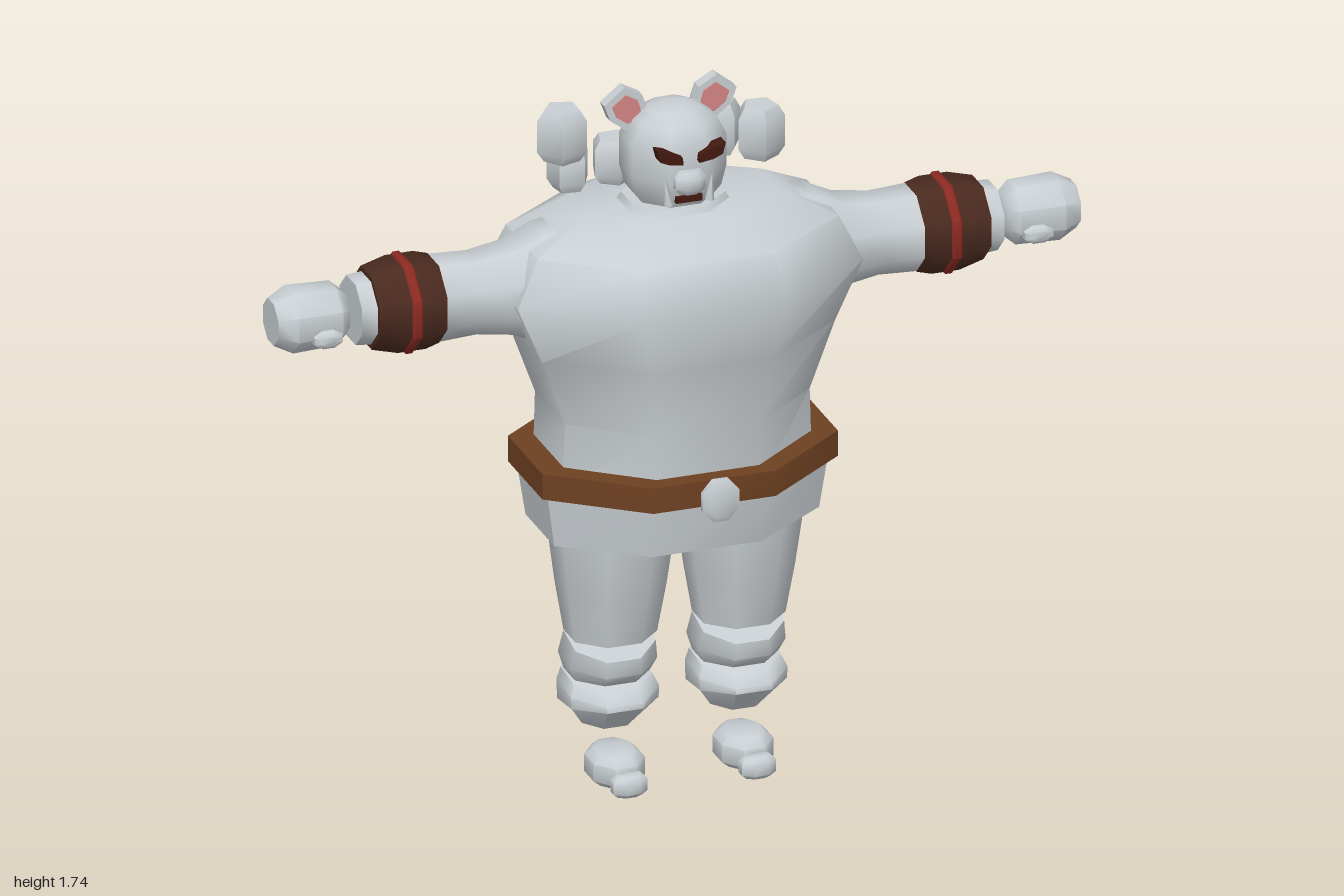
import * as THREE from 'three';
import { toCreasedNormals } from 'three/addons/utils/BufferGeometryUtils.js';

const mat = (name, color) => Object.assign(new THREE.MeshStandardMaterial({ color }), { name });

// Closed skin over level or tilted rings, bottom to top: [y, halfX, halfZ, centreZ, tilt, centreX]
// tilt is how much higher the back is than the middle
function loft(rings, sides = 8, crease = 0.9) {
  const pos = [], idx = [], n = sides, grow = 1 / Math.cos(Math.PI / n);
  for (const [y, hx, hz, cz = 0, tilt = 0, cx = 0] of rings) {
    for (let k = 0; k < n; k++) {
      const a = ((k + 0.5) / n) * Math.PI * 2, s = Math.sin(a) * grow;
      pos.push(cx + Math.cos(a) * grow * hx, y + s * tilt, cz - s * hz);
    }
  }
  for (let i = 0; i < rings.length - 1; i++) {
    for (let k = 0; k < n; k++) {
      const a = i * n + k, b = i * n + ((k + 1) % n);
      idx.push(a, b, b + n, a, b + n, a + n);
    }
  }
  const top = (rings.length - 1) * n;
  for (let k = 1; k < n - 1; k++) idx.push(0, k + 1, k, top, top + k, top + k + 1);
  const g = new THREE.BufferGeometry();
  g.setAttribute('position', new THREE.Float32BufferAttribute(pos, 3));
  g.setIndex(idx);
  return toCreasedNormals(g, crease);
}

// Flat outline given thickness towards +z
function plate(points, depth) {
  const shape = new THREE.Shape(points.map(([x, y]) => new THREE.Vector2(x, y)));
  return new THREE.ExtrudeGeometry(shape, { depth, bevelEnabled: false });
}

export function createModel() {
  const model = new THREE.Group();
  const grey = mat('pale grey', 0xc8ced2);
  const leather = mat('belt brown', 0x6e4122);
  const dark = mat('bracer brown', 0x4a2a1f);
  const red = mat('cord red', 0x8c2a22);
  const brow = mat('brow brown', 0x42190f);
  const pink = mat('ear pink', 0xd48383);

  const add = (name, geo, material, x = 0, y = 0, z = 0, parent = model) => {
    const m = new THREE.Mesh(geo, material);
    m.name = name;
    m.position.set(x, y, z);
    parent.add(m);
    return m;
  };

  // Torso, skirt and belt
  add('torso', loft([
    [0.80, 0.31, 0.245, -0.02], [0.96, 0.305, 0.247, -0.02], [1.13, 0.365, 0.27, -0.02],
    [1.28, 0.43, 0.30, -0.02], [1.395, 0.375, 0.265, -0.02], [1.455, 0.25, 0.155, -0.035],
  ]), grey);
  add('skirt', loft([[0.65, 0.33, 0.237, -0.02], [0.80, 0.352, 0.257, -0.02]]), grey);
  add('belt', loft([[0.785, 0.368, 0.285, -0.016], [0.85, 0.368, 0.285, -0.016]]), leather);
  const buckle = add('buckle', loft([
    [-0.013, 0.03, 0.04], [-0.006, 0.046, 0.053], [0.006, 0.046, 0.053], [0.013, 0.03, 0.04],
  ]), grey, 0, 0.815, 0.308);
  buckle.rotation.x = Math.PI / 2;

  // Head, collar and face
  add('collar', loft([[1.43, 0.14, 0.12, -0.015], [1.47, 0.115, 0.10, -0.015]]), grey);
  add('head', loft([
    [1.45, 0.075, 0.075, -0.015], [1.49, 0.105, 0.10, -0.015], [1.54, 0.117, 0.113, -0.018],
    [1.62, 0.117, 0.113, -0.018], [1.665, 0.095, 0.092, -0.016], [1.69, 0.06, 0.06, -0.014],
    [1.70, 0.03, 0.03, -0.014],
  ]), grey);
  add('muzzle', loft([
    [1.515, 0.026, 0.02, 0.095], [1.53, 0.038, 0.03, 0.095],
    [1.557, 0.038, 0.03, 0.095], [1.572, 0.026, 0.02, 0.095],
  ]), grey);
  add('mouth', new THREE.BoxGeometry(0.065, 0.016, 0.03), brow, 0, 1.497, 0.082);

  // Bulging five-sided hair locks behind the head: x, y, z, radius, height
  const locks = [
    [-0.25, 1.625, -0.09, 0.05, 0.13], [-0.215, 1.515, -0.14, 0.042, 0.11],
    [-0.10, 1.515, -0.15, 0.045, 0.11], [0.075, 1.515, -0.155, 0.042, 0.11],
    [0.16, 1.565, -0.135, 0.042, 0.13], [0.24, 1.565, -0.08, 0.048, 0.13],
  ];
  locks.forEach(([x, y, z, r, h], i) => {
    const lock = add('hairLock', loft([
      [-h / 2, r * 0.72, r * 0.72], [-h * 0.3, r, r], [h * 0.3, r, r], [h / 2, r * 0.72, r * 0.72],
    ], 5, 0.6), grey, x, y, z);
    lock.rotation.y = i * 0.8;
  });

  for (const s of [1, -1]) {
    const side = s > 0 ? 'left' : 'right';
    const mirrored = (pts) => pts.map(([x, y]) => [x * s, y]);

    // Ear with pink inner face
    const ear = [[0.055, 1.64], [0.06, 1.69], [0.07, 1.72], [0.115, 1.745], [0.165, 1.705], [0.15, 1.665], [0.11, 1.635]];
    const inner = ear.map(([x, y]) => [0.108 + (x - 0.108) * 0.66, 1.69 + (y - 1.69) * 0.66]);
    add(side + 'Ear', plate(mirrored(ear), 0.03), grey, 0, 0, -0.062);
    add(side + 'EarInner', plate(mirrored(inner), 0.006), pink, 0, 0, -0.035);

    // Slanted brow and tusk
    const browPts = [[0.02, 1.593], [0.055, 1.598], [0.078, 1.608], [0.085, 1.636], [0.05, 1.626], [0.022, 1.612]];
    add(side + 'Brow', plate(mirrored(browPts), 0.035), brow, 0, 0, 0.078);
    const tusk = add(side + 'Tusk', new THREE.ConeGeometry(0.012, 0.075, 5), grey, s * 0.055, 1.525, 0.094);
    tusk.rotation.z = -s * 0.12;

    // Arm, built upright and laid outward along x
    const arm = new THREE.Group();
    arm.name = side + 'Arm';
    arm.position.set(0, 1.285, -0.022);
    arm.rotation.z = -s * Math.PI / 2;
    model.add(arm);
    const armPart = (name, rings, material) =>
      add(name, loft(rings.map(([x, r, rz = r]) => [x, r, rz])), material, 0, 0, 0, arm);
    armPart('sleeve', [[0.26, 0.15, 0.12], [0.34, 0.138, 0.115], [0.41, 0.105], [0.5, 0.092], [0.61, 0.097]], grey);
    armPart('bracer', [[0.595, 0.098], [0.63, 0.107], [0.70, 0.107], [0.762, 0.092]], dark);
    armPart('bracerCord', [[0.658, 0.106], [0.664, 0.112], [0.68, 0.112], [0.686, 0.106]], red);
    armPart('wrist', [[0.74, 0.082], [0.80, 0.077]], grey);
    armPart('hand', [[0.82, 0.05], [0.845, 0.071], [0.955, 0.075], [1.0, 0.053]], grey);
    const thumb = add(side + 'Thumb', loft([
      [-0.015, 0.035, 0.021], [0.006, 0.035, 0.021], [0.014, 0.022, 0.012],
    ]), grey, s * 0.885, 1.255, 0.055);
    thumb.rotation.x = Math.PI / 2;

    // Leg
    const leg = new THREE.Group();
    leg.name = side + 'Leg';
    leg.position.x = s * 0.16;
    model.add(leg);
    const legPart = (name, rings) => add(name, loft(rings), grey, 0, 0, 0, leg);
    legPart('thigh', [
      [0.375, 0.102, 0.098, -0.005], [0.50, 0.122, 0.118, -0.003],
      [0.65, 0.14, 0.14, 0], [0.74, 0.142, 0.142, 0],
    ]);
    legPart('knee', [
      [0.265, 0.093, 0.095, -0.03, 0], [0.305, 0.107, 0.112, -0.024, 0.012], [0.36, 0.10, 0.10, -0.01, 0.025],
    ]);
    legPart('ankle', [
      [0.15, 0.07, 0.065, -0.035, 0.01], [0.195, 0.108, 0.122, -0.022, -0.015],
      [0.235, 0.11, 0.12, -0.022, 0.012], [0.262, 0.098, 0.106, -0.032, 0.01],
    ]);
    legPart('foot', [
      [0.005, 0.045, 0.06, 0.024], [0.022, 0.064, 0.08, 0.024],
      [0.066, 0.064, 0.08, 0.024], [0.085, 0.045, 0.06, 0.024],
    ]);
    legPart('toe', [
      [0.005, 0.03, 0.018, 0.122], [0.016, 0.042, 0.028, 0.122],
      [0.046, 0.042, 0.028, 0.122], [0.058, 0.03, 0.018, 0.122],
    ]);
  }
  return model;
}
